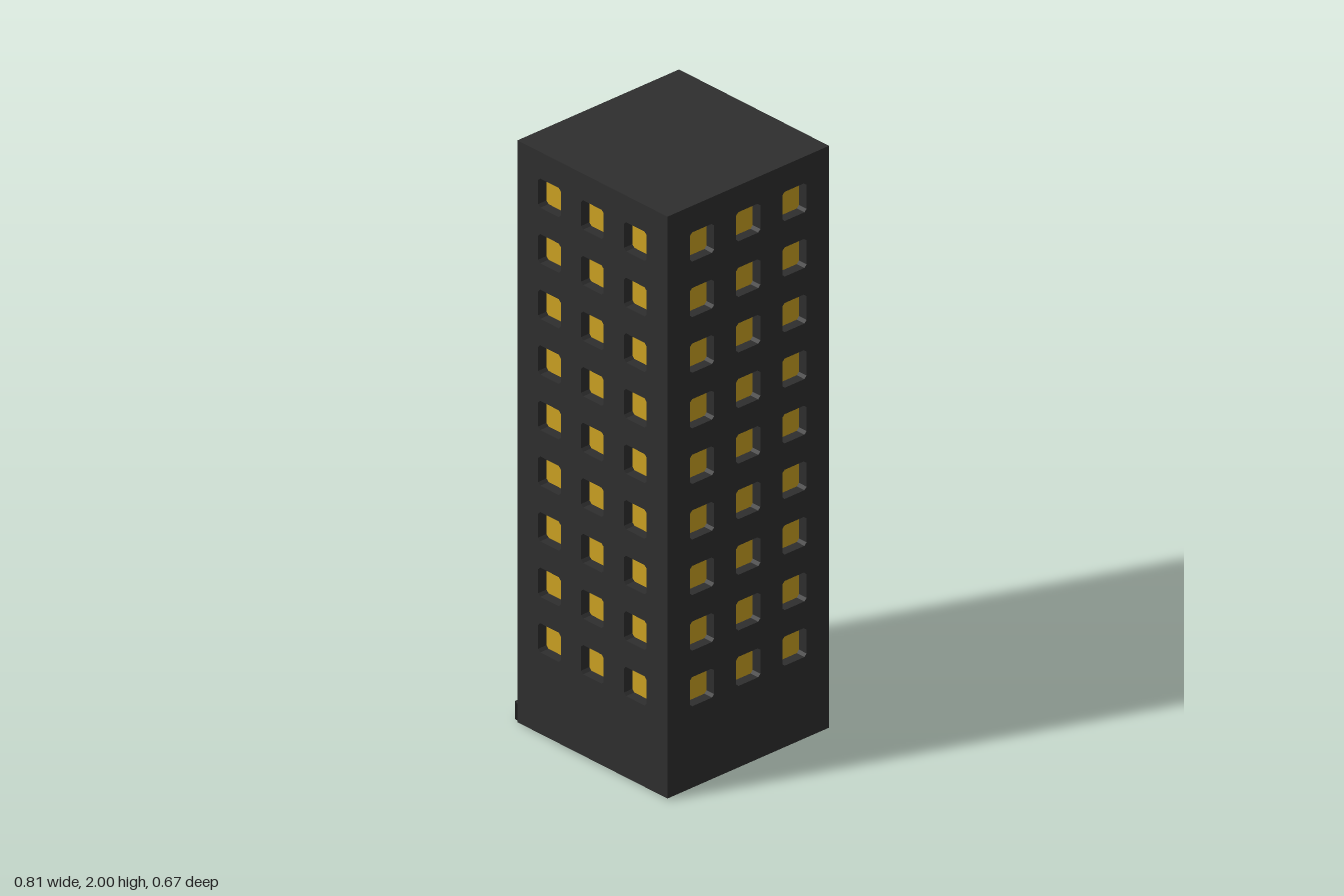
import * as THREE from 'three';

const W = 0.666, BASE = 0.006, TOP = 2, SLAB = 0.02, RECESS = 0.035;
const CX = 0.07, STEP = 0.1905, FIRST = 0.335, ROWS = 9, WIN = 0.1;

export function createModel() {
  const material = (name, color) => {
    const m = new THREE.MeshStandardMaterial({ color });
    m.name = name;
    return m;
  };
  const wall = material('charcoal wall', 0x2e2e2e);
  const gold = material('window gold', 0xcaa022);
  const black = material('bin black', 0x1c1c1c);
  const lidGrey = material('lid grey', 0x333333);

  const model = new THREE.Group();
  model.name = 'towerBlock';
  const add = (parent, name, geometry, mat, x = 0, y = 0, z = 0) => {
    const mesh = new THREE.Mesh(geometry, mat);
    mesh.name = name;
    mesh.position.set(x, y, z);
    parent.add(mesh);
    return mesh;
  };

  // Centres of the window grid on one side
  const centres = [];
  for (let r = 0; r < ROWS; r++)
    for (let c = -1; c <= 1; c++) centres.push([c * STEP, FIRST + r * STEP]);

  // Wall panel with clipped-corner window openings
  const outline = new THREE.Shape();
  const x0 = -W / 2, x1 = W / 2 - RECESS, y0 = BASE + SLAB, y1 = TOP - SLAB;
  outline.moveTo(x0, y0).lineTo(x1, y0).lineTo(x1, y1).lineTo(x0, y1).closePath();
  const h = WIN / 2, k = h - 0.009;
  const corners = [[-k, -h], [-h, -k], [-h, k], [-k, h], [k, h], [h, k], [h, -k], [k, -h]];
  for (const [x, y] of centres)
    outline.holes.push(new THREE.Path(corners.map(([a, b]) => new THREE.Vector2(x + a, y + b))));
  const panelGeo = new THREE.ExtrudeGeometry(outline, { depth: RECESS, bevelEnabled: false });
  const paneGeo = new THREE.PlaneGeometry(WIN + 0.01, WIN + 0.01);

  // Building: four equal sides, interlocking at the corners
  const building = new THREE.Group();
  building.name = 'building';
  building.position.x = CX;
  model.add(building);
  ['front', 'left', 'back', 'right'].forEach((label, i) => {
    const side = new THREE.Group();
    side.name = label + 'Side';
    side.rotation.y = i * Math.PI / 2;
    building.add(side);
    add(side, 'wall', panelGeo, wall, 0, 0, W / 2 - RECESS);
    for (const [x, y] of centres) add(side, 'windowPane', paneGeo, gold, x, y, W / 2 - RECESS + 0.001);

    // Entrance with a plain two-part sign band above it
    if (label === 'right') {
      add(side, 'door', new THREE.BoxGeometry(0.175, 0.175, 0.004), gold, 0, BASE + 0.0875, W / 2);
      for (const s of [-1, 1])
        add(side, 'signBand', new THREE.BoxGeometry(0.088, 0.018, 0.008), gold, s * 0.055, 0.22, W / 2 + 0.002);
    }
  });
  const slabGeo = new THREE.BoxGeometry(W, SLAB, W);
  add(building, 'roof', slabGeo, wall, 0, TOP - SLAB / 2, 0);
  add(building, 'floor', slabGeo, wall, 0, BASE + SLAB / 2, 0);

  // Round bin beside the wall
  const bin = new THREE.Group();
  bin.name = 'bin';
  bin.position.set(-0.283, 0, 0.3);
  model.add(bin);
  add(bin, 'binBody', new THREE.CylinderGeometry(0.018, 0.018, 0.055, 24), black, 0, 0.0275, 0);
  add(bin, 'binLid', new THREE.CylinderGeometry(0.014, 0.014, 0.003, 24), lidGrey, 0, 0.055, 0);

  // Small lumpy bag with a tied tip
  const bagGeo = new THREE.IcosahedronGeometry(0.02, 1);
  const p = bagGeo.attributes.position;
  for (let i = 0; i < p.count; i++) {
    const x = p.getX(i), y = p.getY(i), z = p.getZ(i);
    const f = 1 + 0.08 * Math.sin(x * 310 + y * 170) * Math.cos(z * 260);
    p.setXYZ(i, x * f, y * f, z * f);
  }
  bagGeo.computeVertexNormals();
  add(model, 'bag', bagGeo, black, -0.383, 0.05, 0.13);
  add(model, 'bagTip', new THREE.ConeGeometry(0.006, 0.012, 8), black, -0.383, 0.072, 0.13);

  return model;
}
